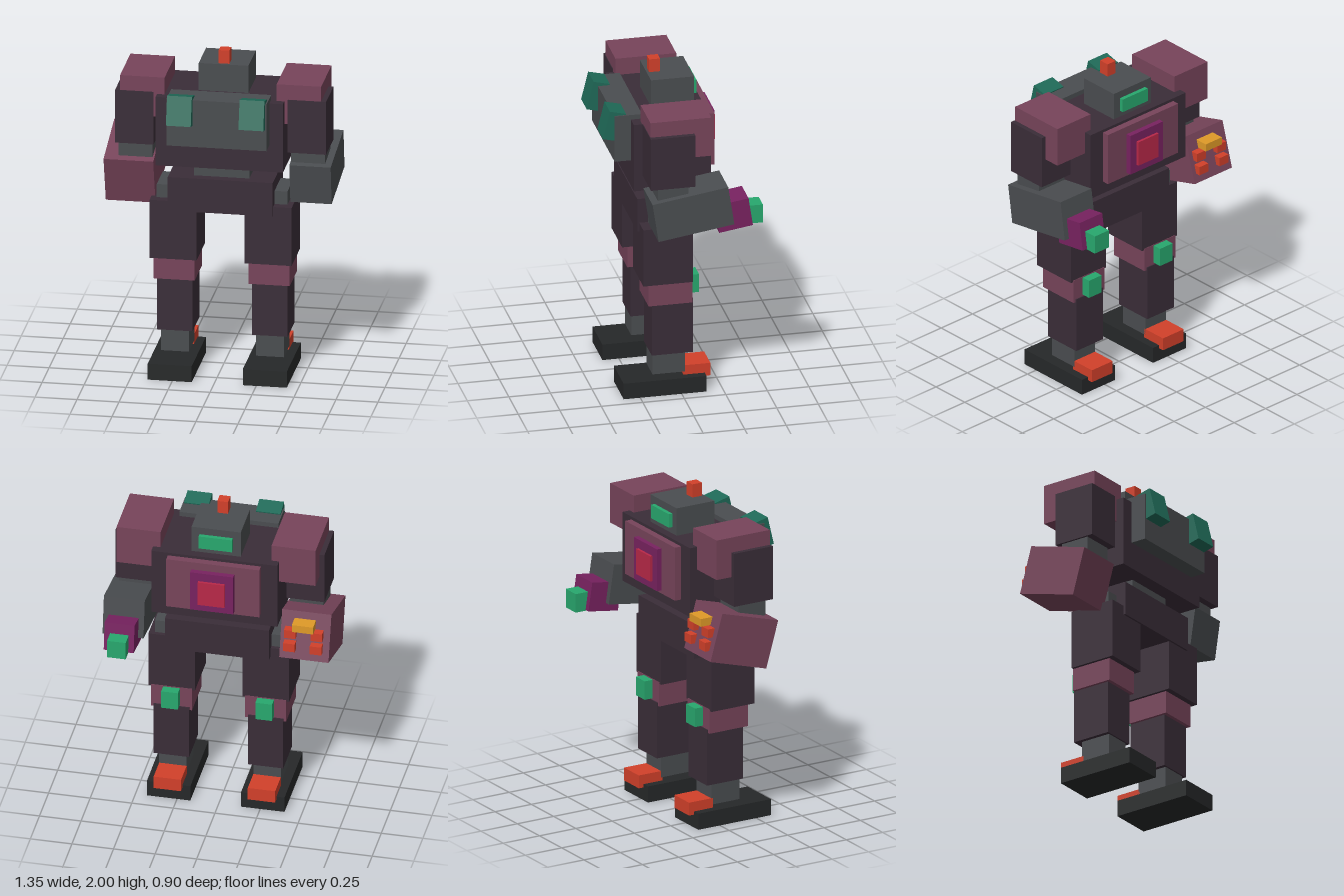
import * as THREE from 'three';

const mat = (color) => new THREE.MeshStandardMaterial({ color, flatShading: true });
const M = {
  dark: mat(0x3a2d38), grey: mat(0x4a4d50), plum: mat(0x77445a), sole: mat(0x262829),
  teal: mat(0x1f6a58), green: mat(0x28a86e), orange: mat(0xd2402a),
  purple: mat(0x782260), red: mat(0xb82848), amber: mat(0xdf9a28),
};

// The body's mirror plane
const CX = 0.018;

export function createModel() {
  const model = new THREE.Group();
  model.name = 'robot';

  // Box from its extents on each axis
  const box = (parent, name, m, [x0, x1], [y0, y1], [z0, z1]) => {
    const mesh = new THREE.Mesh(new THREE.BoxGeometry(x1 - x0, y1 - y0, z1 - z0), m);
    mesh.position.set((x0 + x1) / 2, (y0 + y1) / 2, (z0 + z1) / 2);
    mesh.name = name;
    parent.add(mesh);
    return mesh;
  };
  // Box from its centre and size, pitched about x
  const pitched = (parent, name, m, size, pos, pitch) => {
    const mesh = new THREE.Mesh(new THREE.BoxGeometry(...size), m);
    mesh.position.set(...pos);
    mesh.rotation.x = pitch;
    mesh.name = name;
    parent.add(mesh);
    return mesh;
  };
  // Extents of a given width around a centre
  const span = (c, w) => [c - w / 2, c + w / 2];
  const group = (name) => {
    const g = new THREE.Group();
    g.name = name;
    model.add(g);
    return g;
  };

  // Torso, waist and pelvis
  const torso = group('torso');
  box(torso, 'pelvis', M.dark, span(CX, 0.625), [1.027, 1.237], [-0.115, 0.245]);
  box(torso, 'waist', M.grey, span(CX, 0.328), [1.2, 1.34], [-0.06, 0.19]);
  box(torso, 'chest', M.dark, span(CX, 0.758), [1.32, 1.748], [-0.185, 0.28]);
  box(torso, 'backpack', M.grey, span(CX, 0.596), [1.485, 1.777], [0.213, 0.378]);
  box(torso, 'chestPlate', M.plum, span(CX, 0.56), [1.4, 1.73], [-0.228, -0.17]);
  box(torso, 'chestFrame', M.purple, span(CX, 0.26), [1.42, 1.68], [-0.26, -0.2]);
  box(torso, 'chestCore', M.red, span(CX, 0.16), [1.468, 1.625], [-0.276, -0.24]);

  // Head
  const head = group('head');
  box(head, 'skull', M.grey, span(CX, 0.296), [1.7, 1.918], [-0.135, 0.125]);
  box(head, 'visor', M.green, span(CX, 0.2), [1.788, 1.872], [-0.16, -0.12]);
  box(head, 'antenna', M.orange, span(CX, 0.064), [1.9, 2.0], [0.044, 0.11]);

  for (const s of [1, -1]) {
    const side = s > 0 ? 'left' : 'right';

    // Thruster
    pitched(torso, side + 'Thruster', M.teal, [0.148, 0.178, 0.1], [CX + s * 0.216, 1.709, 0.377], -0.24);

    // Leg
    const leg = group(side + 'Leg');
    const lx = CX + s * 0.283;
    box(leg, 'hip', M.grey, span(lx, 0.212), [0.98, 1.165], [-0.04, 0.18]);
    box(leg, 'thigh', M.dark, span(lx, 0.28), [0.72, 1.083], [-0.064, 0.233]);
    box(leg, 'knee', M.plum, span(lx, 0.246), [0.58, 0.73], [-0.067, 0.198]);
    box(leg, 'kneeLight', M.green, span(lx, 0.1), [0.61, 0.725], [-0.122, -0.04]);
    box(leg, 'shin', M.dark, span(lx, 0.213), [0.253, 0.6], [-0.073, 0.175]);
    box(leg, 'ankle', M.grey, span(lx, 0.165), [0.12, 0.27], [-0.03, 0.165]);
    box(leg, 'foot', M.sole, span(lx, 0.262), [0, 0.1], [-0.149, 0.35]);
    box(leg, 'toe', M.orange, span(lx, 0.165), [0.08, 0.16], [-0.183, -0.02]);

    // Shoulder, upper arm and elbow
    const arm = group(side + 'Arm');
    box(arm, 'shoulder', M.plum, span(CX + s * 0.466, 0.265), [1.607, 1.853], [-0.136, 0.23]);
    box(arm, 'upperArm', M.dark, span(CX + s * 0.514, 0.228), [1.43, 1.76], [-0.033, 0.234]);
    box(arm, 'elbow', M.grey, span(CX + s * 0.514, 0.203), [1.335, 1.45], [0.005, 0.19]);

    if (s > 0) {
      // Cannon forearm
      pitched(arm, 'forearm', M.grey, [0.246, 0.245, 0.461], [0.55, 1.263, -0.016], 0.15);
      pitched(arm, 'barrel', M.purple, [0.18, 0.177, 0.205], [0.55, 1.217, -0.267], 0.15);
      box(arm, 'muzzle', M.green, [0.493, 0.605], [1.14, 1.255], [-0.449, -0.33]);
    } else {
      // Launcher forearm with four warheads under a sight
      pitched(arm, 'forearm', M.plum, [0.296, 0.297, 0.4], [-0.532, 1.233, -0.006], 0.28);
      for (const x of [-0.605, -0.445]) {
        box(arm, 'warhead', M.orange, span(x, 0.07), [1.28, 1.335], [-0.232, -0.17]);
        box(arm, 'warhead', M.orange, span(x, 0.07), [1.2, 1.255], [-0.252, -0.19]);
      }
      box(arm, 'sight', M.amber, [-0.59, -0.462], [1.34, 1.388], [-0.25, -0.17]);
    }
  }
  return model;
}
